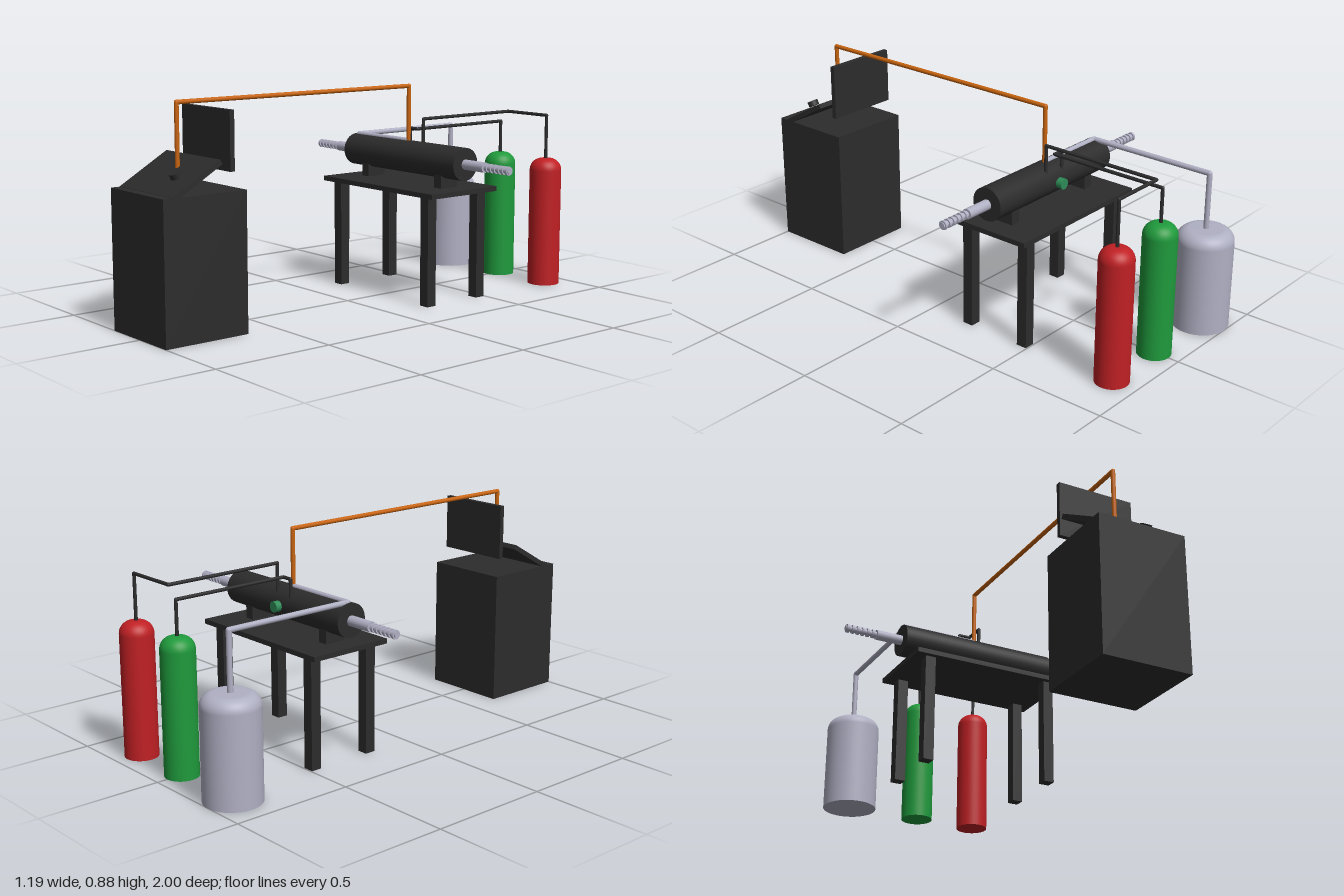
import * as THREE from 'three';

const mat = (color) => new THREE.MeshStandardMaterial({ color });

export function createModel() {
  const root = new THREE.Group();
  const black = mat(0x2c2c2c), steel = mat(0xb0b0c4), red = mat(0xc02024);
  const green = mat(0x1f9a3c), copper = mat(0xc8640f), valveGreen = mat(0x2e8b57);

  function add(name, geo, material, x = 0, y = 0, z = 0, parent = root) {
    const m = new THREE.Mesh(geo, material);
    m.name = name;
    m.position.set(x, y, z);
    parent.add(m);
    return m;
  }
  const box = (name, w, h, d, x, y, z, parent) =>
    add(name, new THREE.BoxGeometry(w, h, d), black, x, y, z, parent);

  // Straight pipe runs with ball joints at the corners
  function pipe(name, r, material, pts) {
    const g = new THREE.Group();
    g.name = name;
    root.add(g);
    const v = pts.map((p) => new THREE.Vector3(...p));
    for (let i = 0; i < v.length - 1; i++) {
      add('pipeRun', new THREE.TubeGeometry(new THREE.LineCurve3(v[i], v[i + 1]), 1, r, 16), material, 0, 0, 0, g);
      if (i > 0) add('pipeElbow', new THREE.SphereGeometry(r, 16, 12), material, ...pts[i], g);
    }
  }

  // Gas bottle with a rounded shoulder
  function tank(name, r, h, shoulder, material, x, z) {
    const pts = [new THREE.Vector2(0, 0), new THREE.Vector2(r, 0), new THREE.Vector2(r, 0)];
    for (let i = 0; i <= 10; i++) {
      const a = (i / 10) * Math.PI / 2;
      pts.push(new THREE.Vector2(r - shoulder + shoulder * Math.cos(a), h - shoulder + shoulder * Math.sin(a)));
    }
    pts.push(new THREE.Vector2(0, h));
    add(name, new THREE.LatheGeometry(pts, 40), material, x, 0, z);
  }

  // Control console with sloped panel, dial and screen
  const consoleGroup = new THREE.Group();
  consoleGroup.name = 'console';
  root.add(consoleGroup);
  box('cabinet', 0.365, 0.552, 0.365, 0, 0.276, 0.8175, consoleGroup);
  const panel = box('slopedPanel', 0.365, 0.02, 0.243, 0, 0.605, 0.852, consoleGroup);
  panel.rotation.x = Math.PI / 6;
  add('dial', new THREE.CylinderGeometry(0.023, 0.023, 0.022, 24), black, 0.09, 0.622, 0.888, consoleGroup)
    .rotation.x = Math.PI / 6;
  box('screen', 0.32, 0.23, 0.02, 0, 0.736, 0.682, consoleGroup);

  // Table
  const cz = -0.335;
  const table = new THREE.Group();
  table.name = 'table';
  root.add(table);
  box('tableTop', 0.69, 0.02, 0.365, 0, 0.462, cz, table);
  for (const sx of [-1, 1]) for (const sz of [-1, 1])
    box('tableLeg', 0.045, 0.452, 0.045, sx * 0.277, 0.226, cz + sz * 0.138, table);

  // Horizontal chamber with saddles, end rods and ribbed insulators
  const axisY = 0.578;
  const chamber = new THREE.Group();
  chamber.name = 'chamber';
  root.add(chamber);
  const rod = (name, r, len, x, material) =>
    add(name, new THREE.CylinderGeometry(r, r, len, 32), material, x, axisY, cz, chamber).rotation.z = Math.PI / 2;
  rod('barrel', 0.068, 0.69, 0, black);
  for (const s of [-1, 1]) {
    box('saddle', 0.042, 0.06, 0.09, s * 0.229, 0.498, cz, chamber);
    rod('electrodeSleeve', 0.021, 0.12, s * 0.4, steel);
    rod('insulatorCore', 0.012, 0.142, s * 0.526, steel);
    for (let i = 0; i < 6; i++) rod('insulatorRib', 0.018, 0.01, s * (0.475 + i * 0.0225), steel);
  }

  // Valve at the back of the barrel
  add('valveStem', new THREE.CylinderGeometry(0.01, 0.01, 0.03, 16), valveGreen, 0, axisY, -0.405).rotation.x = Math.PI / 2;
  add('valveKnob', new THREE.CylinderGeometry(0.022, 0.022, 0.025, 20), valveGreen, 0, axisY, -0.424).rotation.x = Math.PI / 2;

  // Gas bottles
  const tz = -0.888;
  tank('liquidTank', 0.114, 0.415, 0.05, steel, -0.323, tz);
  tank('greenTank', 0.068, 0.552, 0.052, green, 0, tz);
  tank('redTank', 0.068, 0.552, 0.052, red, 0.275, tz);

  // Feed lines
  pipe('copperLine', 0.009, copper, [[0, 0.61, 0.82], [0, 0.876, 0.82], [0, 0.876, cz], [0, 0.63, cz]]);
  pipe('liquidLine', 0.011, steel, [[-0.323, 0.4, tz], [-0.323, 0.645, tz], [-0.323, 0.645, cz], [0, 0.645, cz]]);
  pipe('redTankLine', 0.007, black, [[0.275, 0.54, tz], [0.275, 0.737, tz], [0.045, 0.737, tz], [0.045, 0.737, -0.378], [0.045, 0.62, -0.378]]);
  pipe('greenTankLine', 0.007, black, [[0, 0.54, tz], [0, 0.69, tz], [0, 0.69, -0.385], [-0.045, 0.69, -0.385], [-0.045, 0.615, -0.385]]);

  return root;
}
